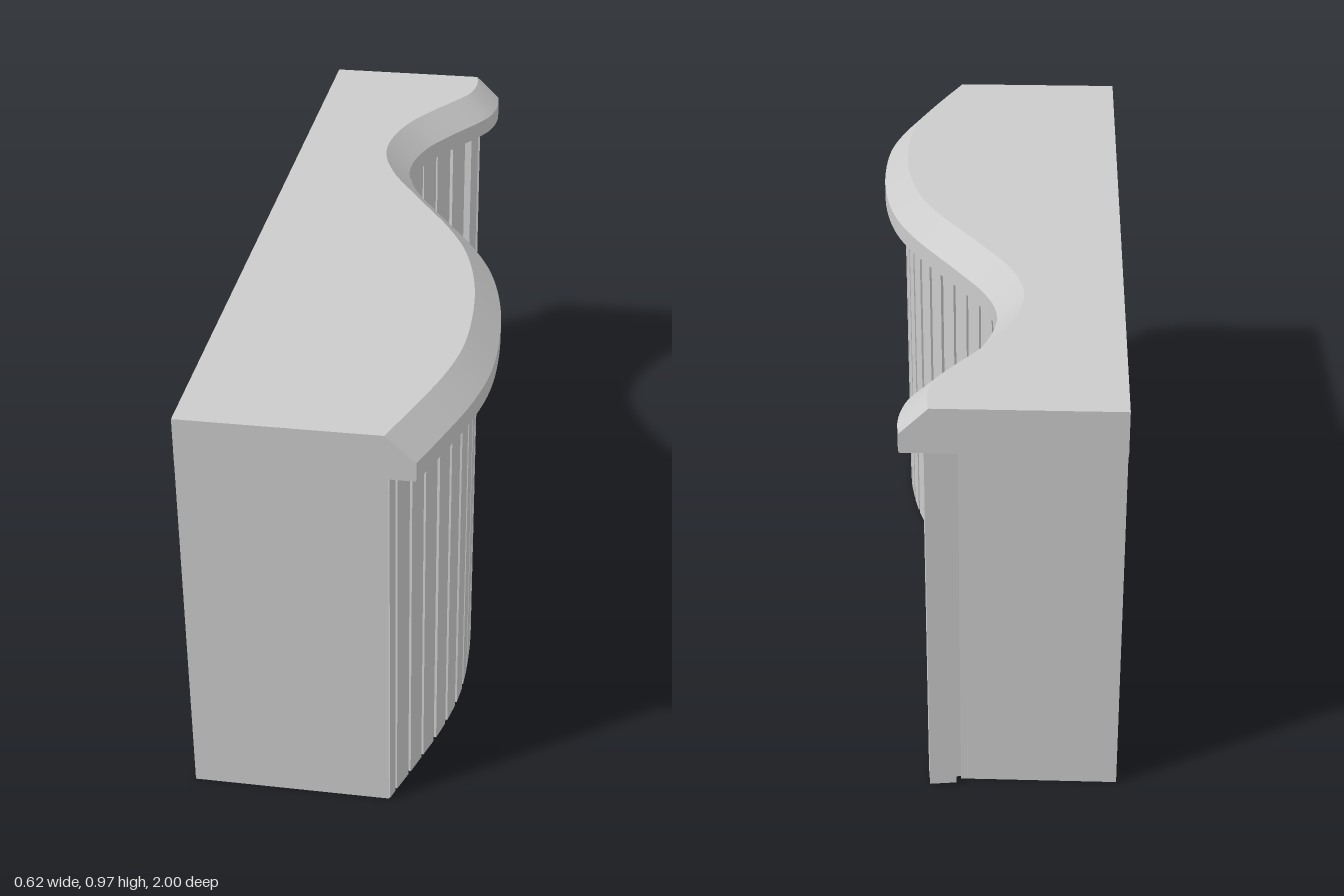
import * as THREE from 'three';

const material = new THREE.MeshStandardMaterial({ color: 0xcccccc, side: THREE.DoubleSide });
const BACK = -0.312, COUNTER_Y = 0.868, TOP_Y = 0.972;
const STEPS = 96;

// Wavy outer edge of the counter as [x, z], running past both ends
const edge = new THREE.CatmullRomCurve3([
  [0.13, -1.12], [0.16, -1], [0.165, -0.93], [0.15, -0.85], [0.112, -0.78], [0.06, -0.7], [0.006, -0.6],
  [-0.02, -0.5], [-0.02, -0.42], [0.012, -0.32], [0.08, -0.2], [0.2, 0], [0.257, 0.13],
  [0.297, 0.3], [0.311, 0.47], [0.306, 0.62], [0.28, 0.75], [0.235, 0.89], [0.196, 1], [0.155, 1.12],
].map(([x, z]) => new THREE.Vector3(x, 0, z)));

// Step inward from a curve, square to it
function inward(curve, u, d) {
  const p = curve.getPointAt(u), t = curve.getTangentAt(u);
  return new THREE.Vector3(p.x - t.z * d, 0, p.z + t.x * d);
}

// Edge moved inward by d, trimmed to z = -1..1, as a new curve
function offsetEdge(d) {
  const raw = [];
  for (let i = 0; i <= 150; i++) raw.push(inward(edge, i / 150, d));
  const cut = z => {
    const i = raw.findIndex((p, k) => k && raw[k - 1].z <= z && p.z >= z);
    const a = raw[i - 1], b = raw[i];
    return a.clone().lerp(b, (z - a.z) / (b.z - a.z));
  };
  const inside = raw.filter(p => p.z > -0.995 && p.z < 0.995);
  return new THREE.CatmullRomCurve3([cut(-1), ...inside, cut(1)]);
}

const sample = fn => Array.from({ length: STEPS + 1 }, (_, i) => fn(i / STEPS));
const atHeight = (row, y) => row.map(p => new THREE.Vector3(p.x, y, p.z));

// Solid from rows of points around a convex section; each strip keeps its own edges
function loft(rows) {
  const pos = [], idx = [];
  const n = rows[0].length;
  rows.forEach((a, k) => {
    const b = rows[(k + 1) % rows.length];
    const base = pos.length / 3;
    for (let i = 0; i < n; i++) {
      pos.push(...a[i].toArray(), ...b[i].toArray());
      if (i) {
        const q = base + 2 * i;
        idx.push(q - 2, q - 1, q, q - 1, q + 1, q);
      }
    }
  });
  // End caps
  [0, n - 1].forEach(end => {
    const base = pos.length / 3;
    rows.forEach(r => pos.push(...r[end].toArray()));
    for (let k = 1; k < rows.length - 1; k++) {
      if (end) idx.push(base, base + k, base + k + 1);
      else idx.push(base, base + k + 1, base + k);
    }
  });
  const g = new THREE.BufferGeometry();
  g.setAttribute('position', new THREE.Float32BufferAttribute(pos, 3));
  g.setIndex(idx);
  g.computeVertexNormals();
  return g;
}

export function createModel() {
  const model = new THREE.Group();
  model.name = 'receptionDesk';
  const add = (name, geometry, parent = model) => {
    const mesh = new THREE.Mesh(geometry, material);
    mesh.name = name;
    parent.add(mesh);
    return mesh;
  };

  // Counter with a chamfered wavy front and a straight back
  const outerCurve = offsetEdge(0), innerCurve = offsetEdge(0.062);
  const outer = sample(u => outerCurve.getPointAt(u));
  const inner = sample(u => innerCurve.getPointAt(u));
  const back = sample(u => new THREE.Vector3(BACK, 0, 2 * u - 1));
  add('counterTop', loft([
    atHeight(back, COUNTER_Y), atHeight(outer, COUNTER_Y), atHeight(outer, 0.912),
    atHeight(inner, TOP_Y), atHeight(back, TOP_Y),
  ]));

  // Curved wall behind the slats, set in from the back end
  const face = offsetEdge(0.052), slatDepth = 0.06;
  const wallRow = d => sample(u => inward(face, 0.013 + 0.987 * u, d));
  const wallFront = wallRow(slatDepth - 0.002), wallBack = wallRow(0.097);
  add('curvedWall', loft([
    atHeight(wallBack, 0), atHeight(wallFront, 0),
    atHeight(wallFront, COUNTER_Y), atHeight(wallBack, COUNTER_Y),
  ]));

  // Upright slats, evenly spaced along the wall face so they fan on the bulges;
  // the last one is cut to fit
  const slats = new THREE.Group();
  slats.name = 'slats';
  model.add(slats);
  const wallFace = new THREE.CatmullRomCurve3(sample(u => inward(face, u, slatDepth)));
  const length = wallFace.getLength(), count = 32, width = 0.055, lastWidth = 0.026;
  const pitch = (length - lastWidth) / count;
  for (let i = 0; i <= count; i++) {
    const w = i < count ? width : lastWidth;
    const u = (i * pitch + w / 2) / length;
    const slat = add('slat', new THREE.BoxGeometry(slatDepth, COUNTER_Y - 0.003, w), slats);
    const t = wallFace.getTangentAt(u);
    slat.position.copy(inward(wallFace, u, -slatDepth / 2)).setY(COUNTER_Y / 2 + 0.0015);
    slat.rotation.y = Math.atan2(t.x, t.z);
  }

  // End panels
  const panel = (name, x1, z0, z1) => {
    const mesh = add(name, new THREE.BoxGeometry(x1 - BACK, COUNTER_Y, z1 - z0));
    mesh.position.set((BACK + x1) / 2, COUNTER_Y / 2, (z0 + z1) / 2);
  };
  panel('frontEndPanel', 0.138, 0.957, 0.999);
  panel('backEndPanel', 0.04, -0.972, -0.932);

  return model;
}
